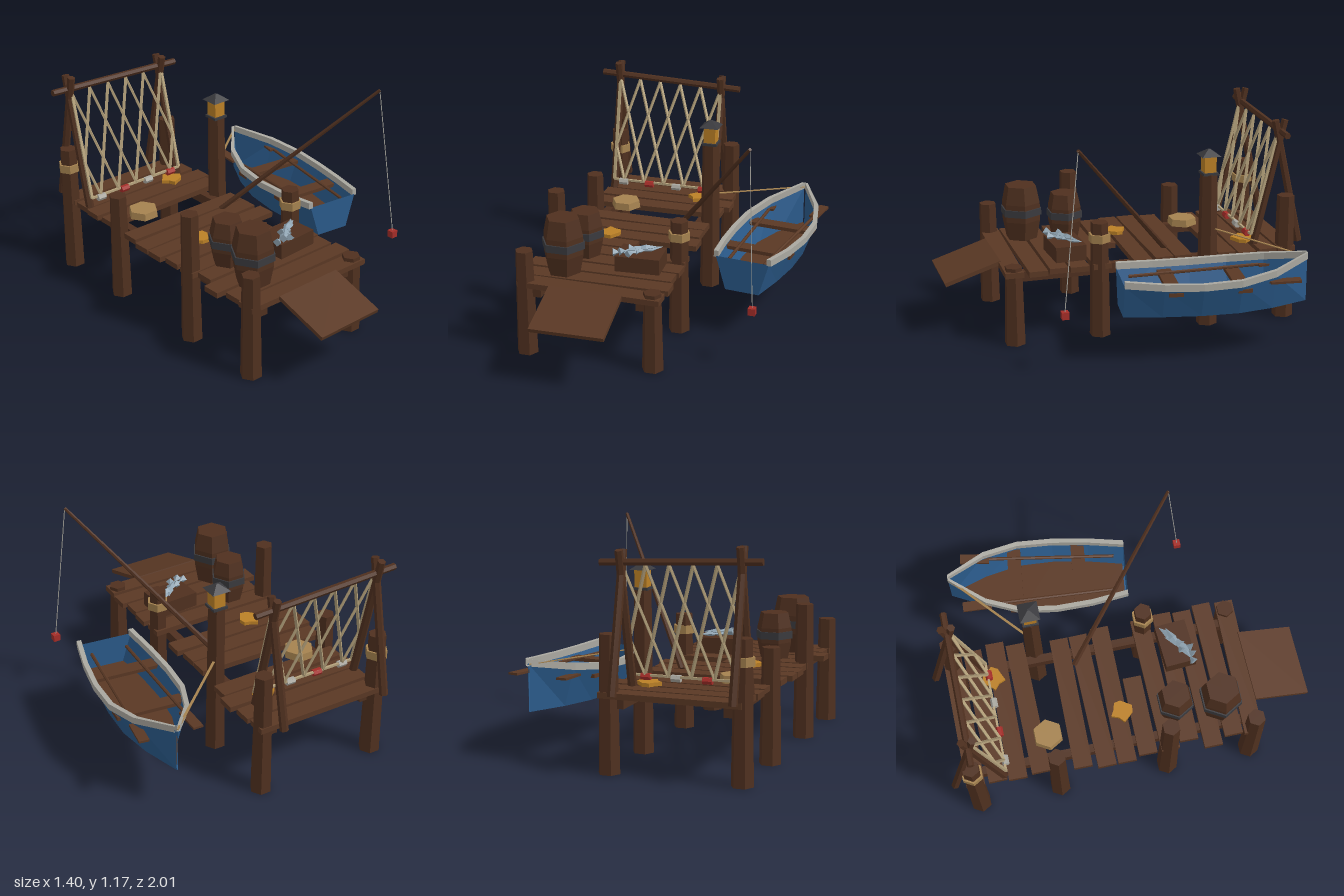
import * as THREE from 'three';

const V = (x, y, z) => new THREE.Vector3(x, y, z);
const paint = (name, color, side = THREE.FrontSide) =>
  new THREE.MeshStandardMaterial({ name, color, side, flatShading: true });

export function createModel() {
  const wood = paint('plank wood', 0x5a3824, THREE.DoubleSide);
  const darkWood = paint('post wood', 0x4f301f);
  const net = paint('net cord', 0xb5a27c);
  const rope = paint('rope', 0xa5824f);
  const blue = paint('boat blue', 0x2a5a8a, THREE.DoubleSide);
  const trim = paint('boat trim', 0xaaa8a0, THREE.DoubleSide);
  const iron = paint('iron', 0x3a3a3e);
  const red = paint('float red', 0xa52d28);
  const fishGrey = paint('fish grey', 0x8ea2b0);
  const gold = paint('gold', 0xbb8026);

  const root = new THREE.Group();
  root.name = 'fishingDock';
  const group = (name, parent = root) => {
    const g = new THREE.Group();
    g.name = name;
    parent.add(g);
    return g;
  };
  const add = (name, geo, mat, pos, parent = root) => {
    const m = new THREE.Mesh(geo, mat);
    m.name = name;
    m.position.copy(pos);
    parent.add(m);
    return m;
  };
  const box = (name, w, h, d, mat, x, y, z, parent) =>
    add(name, new THREE.BoxGeometry(w, h, d), mat, V(x, y, z), parent);
  const drum = (name, rTop, rBottom, h, sides, mat, x, y, z, parent) =>
    add(name, new THREE.CylinderGeometry(rTop, rBottom, h, sides), mat, V(x, y, z), parent);
  // square bar between two points
  const bar = (name, a, b, w, h, mat, parent) => {
    const m = add(name, new THREE.BoxGeometry(w, h, a.distanceTo(b)), mat, a.clone().lerp(b, 0.5), parent);
    m.quaternion.setFromRotationMatrix(new THREE.Matrix4().lookAt(b, a, V(0, 1, 0)));
    return m;
  };
  // tapered round pole between two points
  const pole = (name, a, b, ra, rb, mat, parent, sides = 6) => {
    const m = drum(name, rb, ra, a.distanceTo(b), sides, mat, 0, 0, 0, parent);
    m.position.copy(a).lerp(b, 0.5);
    m.quaternion.setFromUnitVectors(V(0, 1, 0), b.clone().sub(a).normalize());
    return m;
  };
  // skin through equal-length rows of points
  const loft = (rows) => {
    const n = rows[0].length, index = [];
    for (let i = 0; i < rows.length - 1; i++)
      for (let j = 0; j < n - 1; j++) {
        const a = i * n + j, b = a + n;
        index.push(a, a + 1, b, a + 1, b + 1, b);
      }
    const g = new THREE.BufferGeometry();
    g.setAttribute('position', new THREE.Float32BufferAttribute(rows.flat(2), 3));
    g.setIndex(index);
    const flat = g.toNonIndexed();
    flat.computeVertexNormals();
    return flat;
  };

  // posts: x, z, height
  const posts = group('posts');
  [[-0.61, 0.65, 0.58], [-0.61, 0.18, 0.73], [-0.61, -0.43, 0.6], [-0.61, -0.88, 0.72],
    [0.08, 0.65, 0.435], [0.08, 0.18, 0.64], [0.08, -0.43, 0.86], [0.08, -0.88, 0.7]]
    .forEach(([x, z, h]) => {
      const p = drum('post', 0.048, 0.058, h, 6, darkWood, x, h / 2, z, posts);
      p.rotation.y = Math.PI / 6;
    });
  [[0.08, 0.555, 0.18], [-0.61, 0.61, -0.88]].forEach(([x, y, z]) =>
    drum('ropeWrap', 0.06, 0.06, 0.045, 6, rope, x, y, z, posts).rotation.y = Math.PI / 6);

  // deck planks: row number, left end, right end
  const deck = group('deck');
  [[0, -0.62, 0.12], [1, -0.62, 0.13], [2, -0.63, 0.15], [3, -0.62, 0.12], [5, -0.64, 0.1],
    [6, -0.66, 0.1], [7, -0.66, 0.12], [8, -0.64, -0.2], [9, -0.64, 0.12], [10, -0.61, 0.13],
    [11, -0.67, 0.12], [12, -0.63, 0.14], [13, -0.64, 0.13]].forEach(([i, x0, x1]) => {
    const p = box('plank', x1 - x0, 0.03, 0.1, wood, (x0 + x1) / 2, 0.4, -0.88 + i * 0.1175, deck);
    p.rotation.y = 0.015 * Math.sin(i * 2.3);
  });
  for (const x of [-0.54, 0.02]) box('beam', 0.045, 0.055, 1.56, darkWood, x, 0.358, -0.11, deck);
  bar('ramp', V(-0.265, 0.41, 0.69), V(-0.26, 0.312, 0.995), 0.395, 0.022, wood, deck);

  // barrels: x, z, height, belly radius
  [[-0.455, 0.49, 0.305, 0.115], [-0.42, 0.25, 0.25, 0.1]].forEach(([x, z, h, r]) => {
    const b = group('barrel');
    b.position.set(x, 0.415, z);
    const e = r * 0.78;
    const profile = [[0, 0], [e, 0], [r * 0.96, h * 0.35], [r * 0.96, h * 0.68], [e, h], [0, h]];
    add('barrelBody', new THREE.LatheGeometry(profile.map((p) => new THREE.Vector2(...p)), 6), darkWood, V(0, 0, 0), b);
    drum('barrelBand', r * 1.03, r * 1.03, 0.04, 6, iron, 0, h * 0.52, 0, b);
    b.rotation.y = Math.PI / 6;
  });

  // fish crate
  const crate = group('fishCrate');
  crate.position.set(-0.085, 0.415, 0.33);
  crate.rotation.y = 0.06;
  box('crateBox', 0.24, 0.085, 0.17, darkWood, 0, 0.0425, 0, crate);
  for (let i = 0; i < 5; i++) {
    const f = group('fish', crate);
    f.position.set(-0.05 + i * 0.025, 0.098 + (i % 2) * 0.012, 0.035 - i * 0.015);
    f.rotation.y = 0.35 + (i % 3) * 0.3;
    add('fishBody', new THREE.OctahedronGeometry(1, 0), fishGrey, V(0, 0, 0), f).scale.set(0.07, 0.016, 0.022);
    drum('fishTail', 0.002, 0.024, 0.035, 4, fishGrey, -0.072, 0, 0, f).rotation.z = -Math.PI / 2;
  }

  // rope coil and two golden heaps on the deck
  drum('ropeCoil', 0.08, 0.085, 0.04, 6, rope, -0.43, 0.435, -0.45).rotation.y = Math.PI / 6;
  [[-0.38, -0.03], [-0.055, -0.68]].forEach(([x, z], k) => {
    const s = new THREE.Shape();
    for (let i = 0; i < 10; i++) {
      const a = i / 10 * Math.PI * 2, r = 0.056 + 0.012 * Math.sin(i * 2.7 + k);
      s[i ? 'lineTo' : 'moveTo'](r * Math.cos(a), r * Math.sin(a));
    }
    add('goldenHeap', new THREE.ExtrudeGeometry(s, { depth: 0.02, bevelEnabled: false }), gold, V(x, 0.415, z))
      .rotation.x = -Math.PI / 2;
  });

  // lantern
  const lantern = group('lantern');
  lantern.position.set(0.08, 0.86, -0.43);
  box('lanternBase', 0.085, 0.014, 0.085, iron, 0, 0.003, 0, lantern);
  box('lanternGlass', 0.066, 0.1, 0.066, gold, 0, 0.055, 0, lantern);
  drum('lanternRoof', 0.008, 0.075, 0.035, 4, iron, 0, 0.118, 0, lantern).rotation.y = Math.PI / 4;

  // net rack
  const rack = group('netRack');
  [[-0.595, 1.15], [0.02, 1.11]].forEach(([x, top]) => {
    pole('rackLeg', V(x, 0.41, -0.72), V(x, top, -0.885), 0.023, 0.021, darkWood, rack);
    pole('rackLeg', V(x, 0.41, -0.985), V(x, top, -0.83), 0.023, 0.021, darkWood, rack);
  });
  pole('rackRail', V(-0.7, 1.08, -0.86), V(0.13, 1.045, -0.86), 0.018, 0.018, darkWood, rack);

  // net: strands bounce off the two side cords
  const L = -0.59, cell = 0.122, R = L + 5 * cell;
  const netPoint = (x, t) => V(x, 1.06 - t * 0.59 - (x - L) * 0.04 * (1 - t), -0.845 + 0.14 * t);
  for (let i = 0; i <= 5; i++)
    for (const dir of [-1, 1]) {
      if ((i === 0 && dir < 0) || (i === 5 && dir > 0)) continue;
      let x = L + i * cell, d = dir, t = 0;
      while (t < 0.999) {
        const room = Math.abs((d > 0 ? R : L) - x) / (1.5 * cell);
        const step = Math.min(1 - t, room);
        const nx = x + d * step * 1.5 * cell;
        bar('netStrand', netPoint(x, t), netPoint(nx, t + step), 0.014, 0.012, net, rack);
        x = nx;
        t += step;
        d = -d;
      }
    }
  for (const x of [L, R]) bar('netEdge', netPoint(x, 0), netPoint(x, 1), 0.016, 0.014, net, rack);
  bar('netFoot', netPoint(L, 1), netPoint(R, 1), 0.012, 0.012, net, rack);
  [-0.53, -0.37, -0.205, -0.045].forEach((x, i) => {
    const f = drum('netFloat', 0.019, 0.019, 0.05, 6, i % 2 ? red : trim, x, 0.462, -0.7, rack);
    f.rotation.z = Math.PI / 2;
  });

  // fishing rod, line and float
  const tip = V(0.51, 1.16, 0.4);
  pole('fishingRod', V(-0.06, 0.41, -0.23), tip, 0.016, 0.009, darkWood, root);
  pole('fishingLine', tip, V(0.56, 0.34, 0.49), 0.0025, 0.0025, trim, root, 4);
  box('lineFloat', 0.038, 0.038, 0.038, red, 0.56, 0.325, 0.49);

  // rowing boat: z, half width at the rim, half width at the bottom, rim height
  const boat = group('rowingBoat');
  boat.position.set(0.48, 0, -0.325);
  boat.rotation.y = -0.122;
  const hull = [[0.49, 0.15, 0.095, 0.445], [0.29, 0.185, 0.125, 0.432], [0.09, 0.203, 0.14, 0.428],
    [-0.11, 0.197, 0.132, 0.436], [-0.3, 0.14, 0.085, 0.46], [-0.5, 0.004, 0.003, 0.5]];
  const section = ([z, w, b, y]) => [[-w, y, z], [-b, 0.26, z], [b, 0.26, z], [w, y, z]];
  const transom = Array(4).fill([0, hull[0][3], hull[0][0]]);
  add('hull', loft([transom, ...hull.map(section)]), blue, V(0, 0, 0), boat);
  add('boatFloor', loft(hull.map(([z, w, b]) => [[-b * 1.05, 0.285, z * 0.98], [b * 1.05, 0.285, z * 0.98]])),
    wood, V(0, 0, 0), boat);
  for (const s of [-1, 1]) {
    const rim = hull.map(([z, w, b, y]) => {
      const i = s * Math.max(w - 0.014, 0), o = s * (w + 0.012);
      return [[i, y - 0.006, z], [o, y - 0.006, z], [o, y + 0.03, z], [i, y + 0.03, z], [i, y - 0.006, z]];
    });
    const end = rim[0].map(() => rim[0][0]);
    add('boatRim', loft([end, ...rim]), trim, V(0, 0, 0), boat);
    // oar passing out over the side near the bow
    const a = V(s * 0.1, 0.41, 0.43), b = V(s * 0.135, 0.425, -0.27), c = V(s * 0.145, 0.43, -0.43);
    pole('oarShaft', a, b, 0.009, 0.009, wood, boat);
    bar('oarBlade', b, c, 0.055, 0.012, wood, boat);
  }
  [[0.23, 0.375], [-0.13, 0.37]].forEach(([z, w]) => box('bench', w, 0.02, 0.075, wood, 0, 0.4, z, boat));

  // mooring rope
  bar('mooringRope', V(0.11, 0.552, -0.46), V(0.54, 0.505, -0.82), 0.013, 0.004, rope);
  return root;
}
